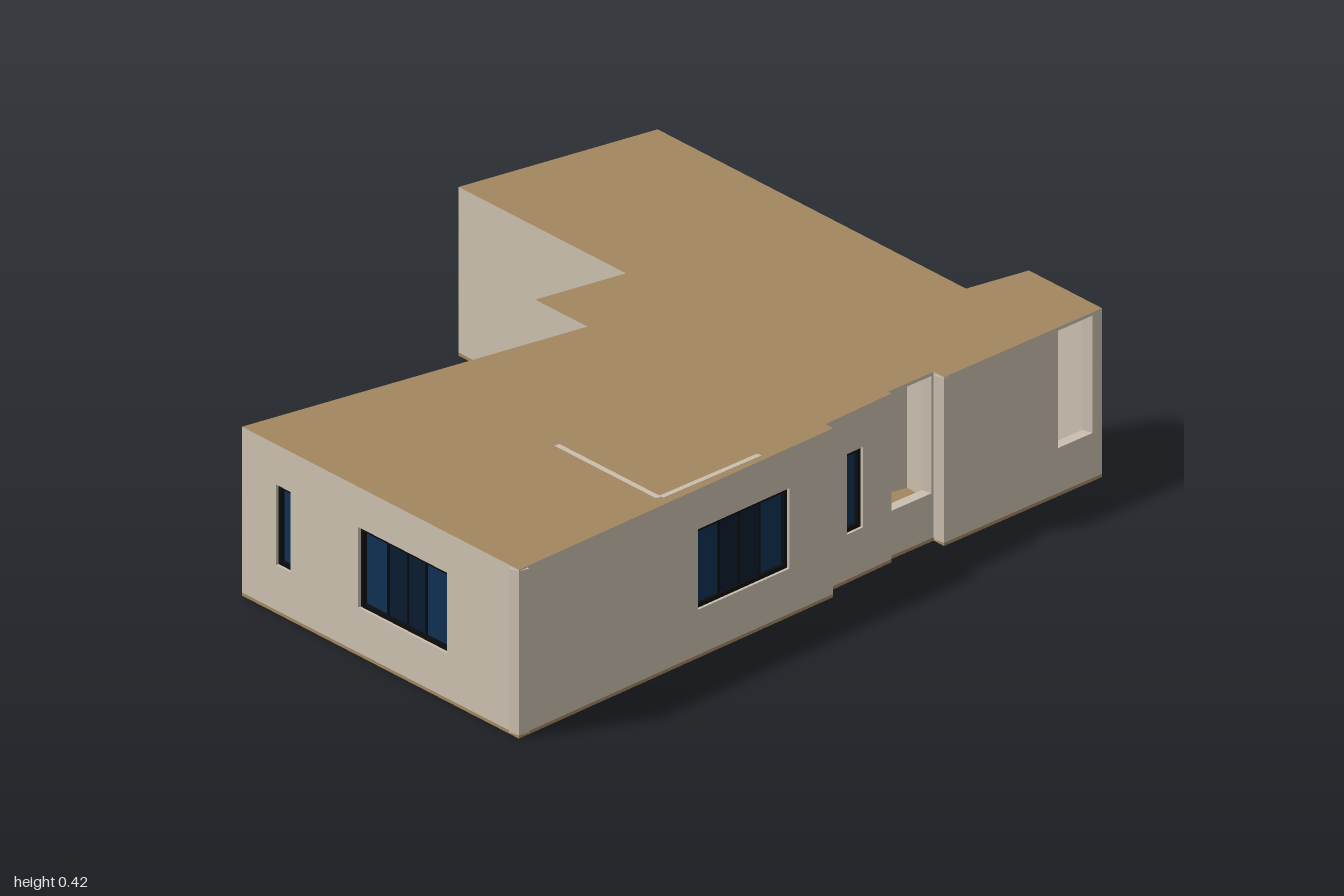
import * as THREE from 'three';

const mat = (name, color, side = THREE.FrontSide) => {
  const m = new THREE.MeshStandardMaterial({ color, side });
  m.name = name;
  return m;
};

const WALL_BASE = 0.008, WALL_TOP = 0.416, ROOF_TOP = 0.42, THICK = 0.03;

// Building outline as [x, z], counter-clockwise seen from above
const OUTLINE = [
  [-0.95, -0.25], [-0.31, -0.25], [-0.31, 0.01], [-0.11, 0.01], [-0.11, 1], [0.95, 1],
  [0.71, -0.08], [0.68, -0.08], [0.625, -0.31], [0.612, -0.31], [0.58, -0.465],
  [0.62, -0.465], [0.51, -1], [0.23, -1], [0.23, -0.82], [-0.95, -0.82],
];

// Openings per wall index: from/to along the wall's main axis, low/high in y
const OPENINGS = {
  4: [
    { from: 0.02, to: 0.075, low: 0.12, high: 0.32, panes: [0, 1] },
    { from: 0.335, to: 0.675, low: 0.12, high: 0.32, panes: [0, 0.28, 0.71, 1] },
  ],
  5: [{ from: 0.385, to: 0.07, low: 0.12, high: 0.32, panes: [0, 0.28, 0.72, 1] }],
  7: [{ from: -0.155, to: -0.212, low: 0.12, high: 0.32, panes: [0, 1] }],
  9: [{ from: -0.318, to: -0.458, low: 0.12, high: 0.412 }],
  11: [{ from: -0.85, to: -0.967, low: 0.12, high: 0.412 }],
  15: [{ from: -0.5, to: -0.31, low: 0.012, high: 0.32, door: true }],
};

function rectPath(Type, x0, y0, x1, y1) {
  const p = new Type();
  p.moveTo(x0, y0);
  p.lineTo(x1, y0);
  p.lineTo(x1, y1);
  p.lineTo(x0, y1);
  p.closePath();
  return p;
}

const extrude = (shape, depth) => new THREE.ExtrudeGeometry(shape, { depth, bevelEnabled: false });

export function createModel() {
  const model = new THREE.Group();
  model.name = 'house';
  const plaster = mat('plaster', 0xcabfaf);
  const timber = mat('timber', 0xa2875f);
  const black = mat('frameBlack', 0x0b0c0e);
  const blue = mat('glassBlue', 0x0e3052);
  const darkBlue = mat('glassDarkBlue', 0x081c30);

  const add = (parent, name, geo, material, x = 0, y = 0, z = 0) => {
    const m = new THREE.Mesh(geo, material);
    m.name = name;
    m.position.set(x, y, z);
    parent.add(m);
    return m;
  };
  const box = (parent, name, material, w, h, d, x, y, z) =>
    add(parent, name, new THREE.BoxGeometry(w, h, d), material, x, y, z);

  // Floor and roof slabs share the outline
  const slab = (name, bottom, height, materials) => {
    const shape = new THREE.Shape(OUTLINE.map(([x, z]) => new THREE.Vector2(x, -z)));
    const geo = extrude(shape, height);
    geo.rotateX(-Math.PI / 2);
    add(model, name, geo, materials, 0, bottom, 0);
  };
  slab('floor', 0, WALL_BASE, timber);
  slab('roof', WALL_TOP, ROOF_TOP - WALL_TOP, [timber, plaster]);

  // Recessed window: frame, panes and mullions
  function addWindow(parent, u0, u1, low, high, panes) {
    const f = 0.01, width = u1 - u0, height = high - low;
    const win = new THREE.Group();
    win.name = 'window';
    parent.add(win);
    const frame = rectPath(THREE.Shape, u0, low, u1, high);
    frame.holes.push(rectPath(THREE.Path, u0 + f, low + f, u1 - f, high - f));
    add(win, 'windowFrame', extrude(frame, 0.02), black, 0, 0, -0.028);
    for (let i = 0; i < panes.length - 1; i++) {
      const a = u0 + width * panes[i], b = u0 + width * panes[i + 1];
      box(win, 'windowPane', i === 1 ? darkBlue : blue,
        b - a - 0.004, height - 0.004, 0.006, (a + b) / 2, (low + high) / 2, -0.02);
      if (i > 0) box(win, 'mullion', black, 0.006, height - f, 0.014, a, (low + high) / 2, -0.02);
    }
    if (panes.length > 2) {
      box(win, 'centreMullion', black, 0.004, height - f, 0.012, (u0 + u1) / 2, (low + high) / 2, -0.02);
    }
  }

  // Doorway with a timber leaf and a dark sliding post
  function addDoor(parent, u0, u1, low, high) {
    const h = high - low, y = (low + high) / 2;
    box(parent, 'doorLeaf', timber, 0.07, h, 0.01, u0 + 0.04, y, -0.02);
    box(parent, 'doorPost', black, 0.01, h, 0.015, u1 - 0.025, y, -0.02);
  }

  // Outer walls, local x along the wall and local z outwards
  OUTLINE.forEach(([ax, az], i) => {
    const [bx, bz] = OUTLINE[(i + 1) % OUTLINE.length];
    const dx = bx - ax, dz = bz - az, len = Math.hypot(dx, dz);
    const wall = new THREE.Group();
    wall.name = 'outerWall';
    wall.position.set(ax, 0, az);
    wall.rotation.y = Math.atan2(-dz, dx);
    model.add(wall);
    const along = (c) => (Math.abs(dx) > Math.abs(dz) ? (c - ax) / dx : (c - az) / dz) * len;
    const shape = rectPath(THREE.Shape, 0, WALL_BASE, len, WALL_TOP);
    for (const o of OPENINGS[i] || []) {
      const u0 = along(o.from), u1 = along(o.to);
      shape.holes.push(rectPath(THREE.Path, u0, o.low, u1, o.high));
      if (o.panes) addWindow(wall, u0, u1, o.low, o.high, o.panes);
      if (o.door) addDoor(wall, u0, u1, o.low, o.high);
    }
    // Short return walls stay thin so they do not pierce their neighbours
    const t = len < 0.05 ? 0.01 : THICK;
    add(wall, 'wallPanel', extrude(shape, t), plaster, 0, 0, -t);
  });

  // Partitions inside; two of them show as narrow strips in the roof
  const partition = (ax, az, bx, bz, top) => {
    const len = Math.hypot(bx - ax, bz - az);
    const p = box(model, 'partition', plaster, len, top - WALL_BASE, 0.015,
      (ax + bx) / 2, (top + WALL_BASE) / 2, (az + bz) / 2);
    p.rotation.y = Math.atan2(az - bz, bx - ax);
  };
  partition(0.41, 0.487, 0.8, 0.487, ROOF_TOP + 0.0008);
  partition(0.8, 0.48, 0.735, 0.15, ROOF_TOP + 0.0008);
  partition(0.3, -0.6, 0.3, 0.15, WALL_TOP);
  partition(0.3, -0.6, 0.58, -0.6, WALL_TOP);
  partition(0.3, 0.15, 0.73, 0.15, WALL_TOP);
  partition(-0.5, -0.8, -0.5, -0.27, WALL_TOP);

  return model;
}
